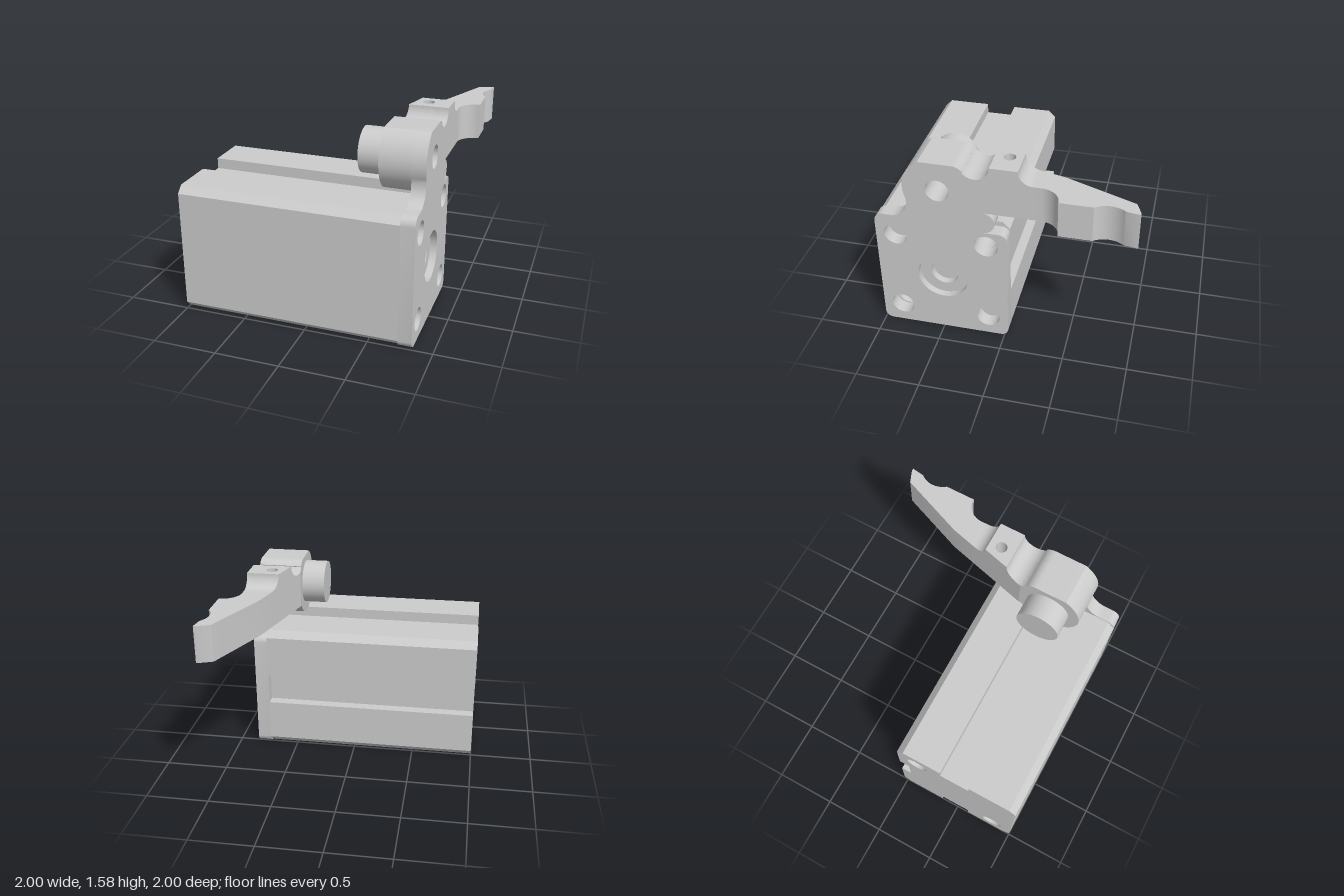
import * as THREE from 'three';
import { toCreasedNormals } from 'three/addons/utils/BufferGeometryUtils.js';

const material = new THREE.MeshStandardMaterial({ color: 0xcccccc });

// Points on an arc, angles in degrees
function arc(cx, cy, r, from, to, n = 14) {
  return Array.from({ length: n + 1 }, (_, i) => {
    const a = THREE.MathUtils.degToRad(from + ((to - from) * i) / n);
    return [cx + r * Math.cos(a), cy + r * Math.sin(a)];
  });
}

function addHole(shape, x, y, r) {
  const hole = new THREE.Path();
  hole.absarc(x, y, r, 0, Math.PI * 2);
  shape.holes.push(hole);
}

// Side profile of [z, y] points, extruded from x0 to x1; holes are [z, y, r]
function sideExtrude(points, x0, x1, holes = []) {
  const shape = new THREE.Shape(points.map(([z, y]) => new THREE.Vector2(-z, y)));
  holes.forEach(([z, y, r]) => addHole(shape, -z, y, r));
  return new THREE.ExtrudeGeometry(shape, { depth: x1 - x0, bevelEnabled: false, curveSegments: 40 })
    .rotateY(Math.PI / 2).translate(x0, 0, 0);
}

// Plan outline of [x, z] points, extruded from y0 to y1; holes are [x, z, r]
function planExtrude(points, y0, y1, holes = []) {
  const shape = new THREE.Shape(points.map(([x, z]) => new THREE.Vector2(x, -z)));
  holes.forEach(([x, z, r]) => addHole(shape, x, -z, r));
  return new THREE.ExtrudeGeometry(shape, { depth: y1 - y0, bevelEnabled: false, curveSegments: 32 })
    .rotateX(-Math.PI / 2).translate(0, y0, 0);
}

// Inner face of the lever tapers along z
const taper = (z) => 0.49 + (0.24 - z) * 0.265;

function taperInnerFace(geometry) {
  const p = geometry.attributes.position;
  for (let i = 0; i < p.count; i++) {
    if (p.getX(i) < 0.3) p.setX(i, taper(p.getZ(i)));
  }
  geometry.computeVertexNormals();
  return geometry;
}

export function createModel() {
  const group = new THREE.Group();
  const add = (name, geometry) => {
    const mesh = new THREE.Mesh(toCreasedNormals(geometry, 0.5), material);
    mesh.name = name;
    group.add(mesh);
  };

  const back = -0.03, top = 1.04, c = 0.055, d = 0.085;
  const pz = 0.485, py = 1.325, headR = 0.265, pivotHole = [pz, py, 0.09];

  // Body: chamfered block with slots on the top, back and bottom
  add('body', sideExtrude([
    [1, c], [1, top - c], [1 - c, top],
    [0.6, top], [0.6, top - d], [0.35, top - d], [0.35, top],
    [back + c, top], [back, top - c],
    [back, 0.65], [back + d, 0.65], [back + d, 0.39], [back, 0.39],
    [back, c], [back + c, 0],
    [0.35, 0], [0.35, d], [0.6, d], [0.6, 0], [1 - c, 0],
  ], -1, 0.73, [[0.14, 0.87, 0.087], [0.83, 0.175, 0.087]]));

  // End plate with the neck and outer face of the pivot head
  const shoulder = [[0.365, 1.555], ...arc(0.365, 1.455, 0.1, 90, 143, 8)];
  const boltHoles = [[0.84, 0.875], [0.13, 0.875], [0.84, 0.17], [0.13, 0.17]];
  add('endPlate', sideExtrude([
    ...arc(0.94, 0.06, 0.06, -90, 0, 8),
    ...arc(0.93, 0.98, 0.07, 0, 90, 8),
    ...arc(0.87, 1.19, 0.14, -90, -180),
    ...arc(pz, py, headR, -23, 60.2, 20),
    ...shoulder,
    ...arc(0.2, 1.575, 0.11, -37, -180, 16),
    [0.09, 1.18],
    ...arc(0.15, 1.09, 0.09, 90, -90).map(([z, y]) => [0.3 - z, y]),
    ...arc(0.03, 0.94, 0.06, 90, 180, 8),
    ...arc(0.03, 0.06, 0.06, 180, 270, 8),
  ], 0.73, 0.84, [...boltHoles.map(([z, y]) => [z, y, 0.092]), [pz, 0.52, 0.2], pivotHole]));

  // Stepped floor of the central recess
  add('recessRing', sideExtrude(arc(pz, 0.52, 0.2, 0, 351, 39), 0.73, 0.785, [[pz, 0.52, 0.11]]));

  // Pivot head behind the plate, and its boss
  add('pivotHead', sideExtrude([
    ...arc(pz, py, headR, 213.2, 420.2, 40),
    ...shoulder,
    ...arc(0.2, 1.575, 0.11, -37, -68.7, 5),
    [0.24, 1.18],
  ], 0.49, 0.73, [pivotHole]));
  add('pivotBoss', sideExtrude(arc(pz, py, 0.177, 0, 352.5, 47), 0.305, 0.49, [pivotHole]));

  // Lever: scooped root, drilled block, fillet and tail
  add('leverRoot', taperInnerFace(sideExtrude([
    [0.24, 1.18], ...arc(0.2, 1.575, 0.11, -68.7, -180), [0.09, 1.18],
  ], 0, 0.73)));
  add('leverBlock', planExtrude([
    [taper(0.09), 0.09], [0.84, 0.09], [0.84, -0.12], [taper(-0.12), -0.12],
  ], 1.18, 1.575, [[0.66, -0.02, 0.045]]));
  add('leverFillet', taperInnerFace(sideExtrude([
    [-0.12, 1.18], ...arc(-0.23, 1.575, 0.11, 0, -90), [-0.23, 1.18],
  ], 0, 0.84)));
  add('leverTail', planExtrude([
    [taper(-0.23), -0.23], [0.84, -0.23],
    ...arc(0.985, -0.29, 0.145, 180, 270),
    ...arc(1.116, -0.79, 0.171, 140, 220),
    [1, -1], [0.98, -1], [0.88, -0.96], [taper(-0.44), -0.44],
  ], 1.18, 1.465));

  return group;
}
